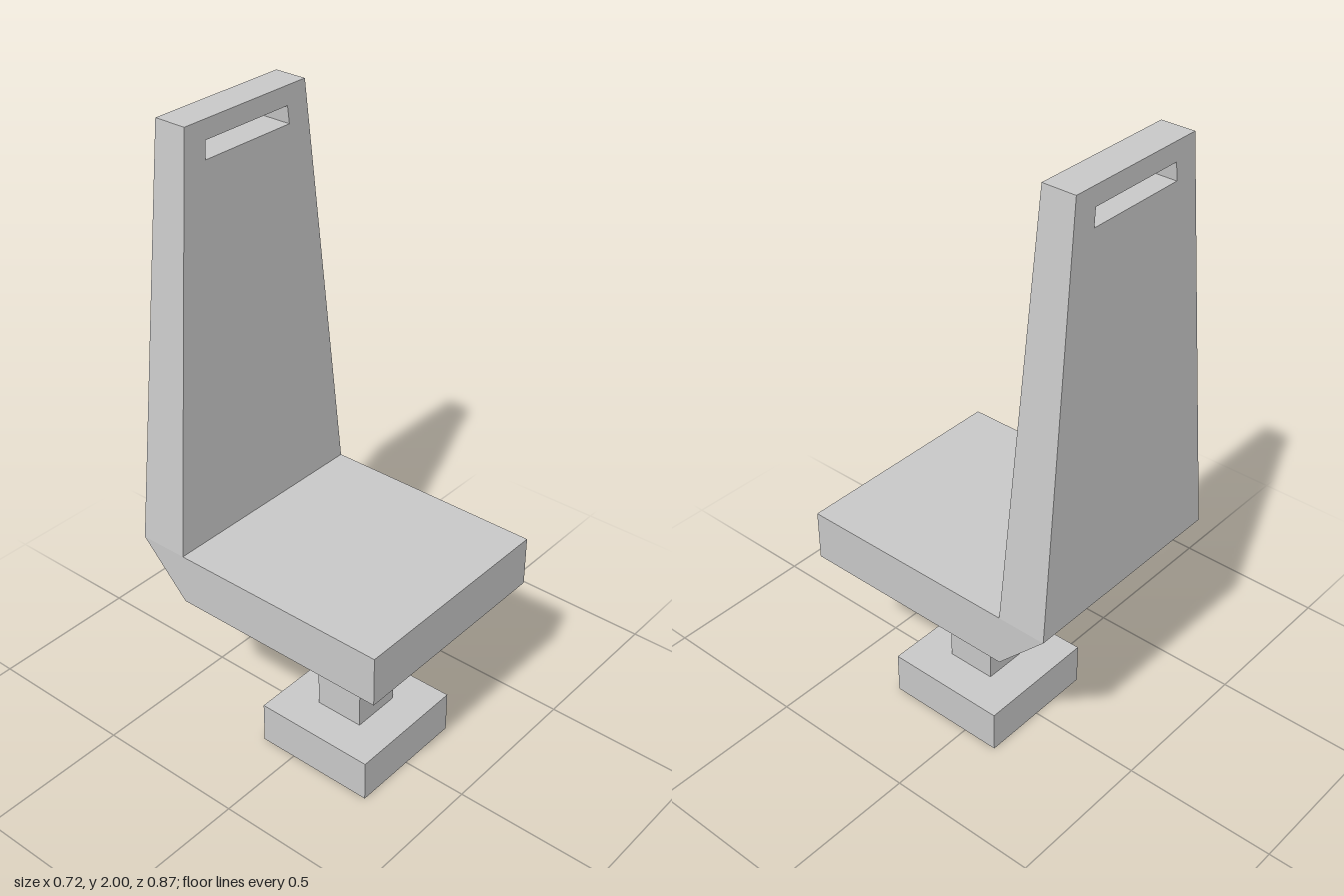
import * as THREE from 'three';

const HALF_WIDTH = 0.359; // seat half width
const SEAT_LOW = 0.565, SEAT_TOP = 0.727, TOP = 2;
const CREASE = -0.28, REAR = -0.437, FRONT = 0.437;

const points = (list) => list.map(([x, y]) => new THREE.Vector2(x, y));

// Symmetric trapezoid outline
const trapezoid = (lowHalf, lowY, topHalf, topY) =>
  points([[-lowHalf, lowY], [lowHalf, lowY], [topHalf, topY], [-topHalf, topY]]);

export function createModel() {
  const group = new THREE.Group();
  const material = new THREE.MeshStandardMaterial({ color: 0xcccccc, flatShading: true });

  const add = (name, geometry) => {
    const mesh = new THREE.Mesh(geometry, material);
    mesh.name = name;
    group.add(mesh);
    return mesh;
  };

  // Base block and square column, both centred under the seat
  const block = (name, width, low, high) =>
    add(name, new THREE.BoxGeometry(width, high - low, width))
      .position.set(0, (low + high) / 2, 0.082);
  block('base', 0.408, 0, 0.14);
  block('column', 0.164, 0.14, SEAT_LOW);

  // Seat: side profile (z, y) with a sloped rear underside, extruded across x
  const profile = new THREE.Shape(points([
    [FRONT, SEAT_LOW], [FRONT, SEAT_TOP], [REAR, SEAT_TOP], [CREASE, SEAT_LOW],
  ]));
  const seat = new THREE.ExtrudeGeometry(profile, { depth: 2 * HALF_WIDTH, bevelEnabled: false });
  seat.rotateY(-Math.PI / 2).translate(HALF_WIDTH, 0, 0);
  add('seat', seat);

  // Backrest: tapering panel with a handle slot
  const panel = new THREE.Shape(trapezoid(HALF_WIDTH, SEAT_TOP, 0.234, TOP));
  panel.holes.push(new THREE.Path(trapezoid(0.165, 1.89, 0.16, 1.943).reverse()));
  const back = new THREE.ExtrudeGeometry(panel, { depth: 1, bevelEnabled: false });

  // The panel gets thinner toward the top
  const position = back.attributes.position;
  for (let i = 0; i < position.count; i++) {
    const t = (position.getY(i) - SEAT_TOP) / (TOP - SEAT_TOP);
    const rear = THREE.MathUtils.lerp(REAR, -0.411, t);
    const front = THREE.MathUtils.lerp(CREASE, -0.307, t);
    position.setZ(i, THREE.MathUtils.lerp(rear, front, position.getZ(i)));
  }
  back.computeVertexNormals();
  add('backrest', back);

  return group;
}
